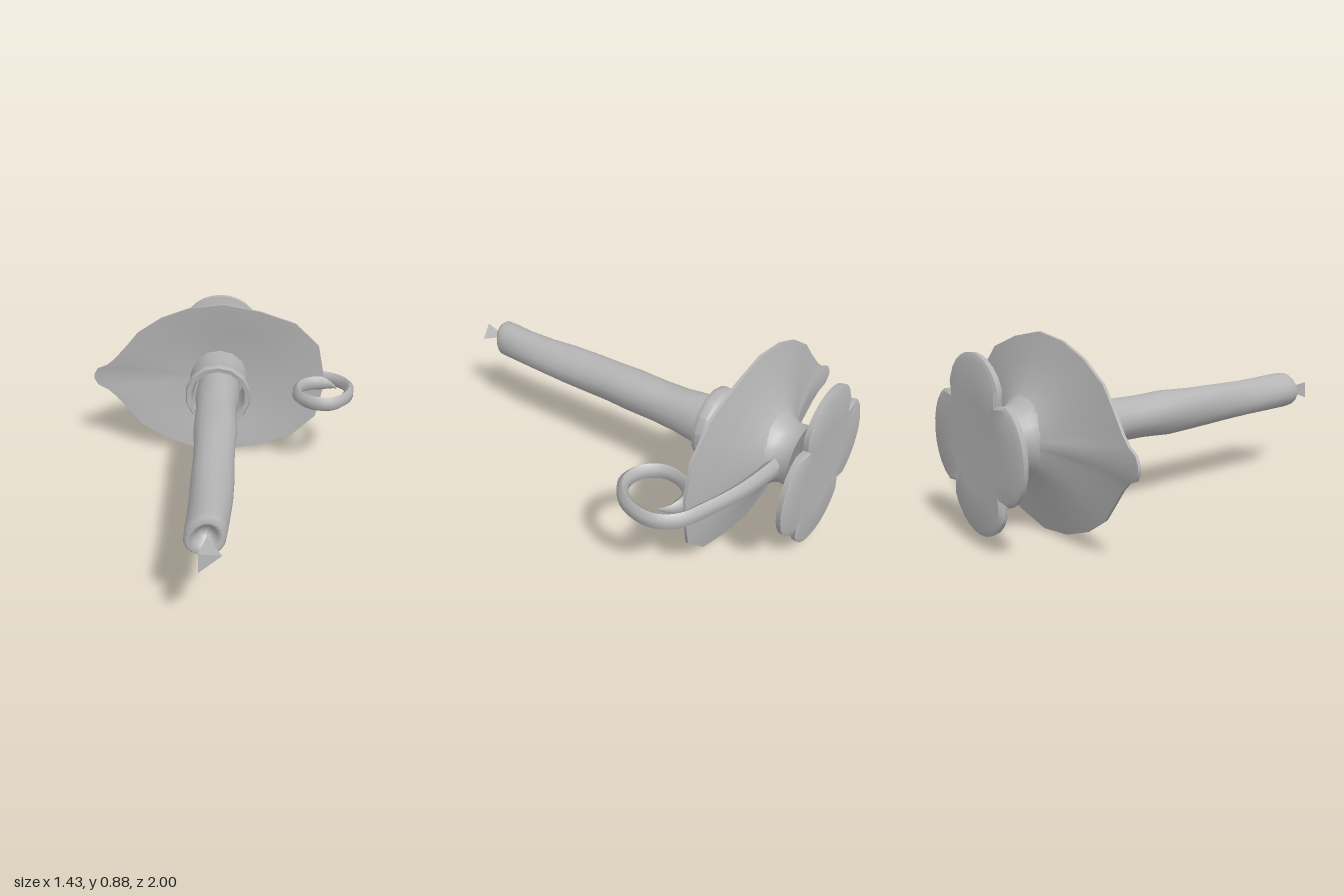
import * as THREE from 'three';
import { toCreasedNormals, mergeVertices } from 'three/addons/utils/BufferGeometryUtils.js';

const CX = -0.02, CY = 0.443; // main axis runs along z through this point

// Skin closed rings (counter-clockwise seen from +z, ordered back to front)
function loft(rings, crease = 0.7) {
  const n = rings[0].length, index = [];
  for (let i = 0; i < rings.length - 1; i++) {
    for (let j = 0; j < n; j++) {
      const k = (j + 1) % n, a = i * n + j, b = i * n + k;
      index.push(a, b, a + n, b, b + n, a + n);
    }
  }
  const g = new THREE.BufferGeometry();
  g.setAttribute('position', new THREE.Float32BufferAttribute(rings.flat(2), 3));
  g.setIndex(index);
  return toCreasedNormals(g, crease);
}

// Turned part along z from [radius, z] pairs
function turned(profile, sides) {
  const g = new THREE.LatheGeometry(profile.map(([r, z]) => new THREE.Vector2(r, z)), sides);
  g.rotateX(Math.PI / 2);
  return g;
}

export function createModel() {
  const group = new THREE.Group();
  const clay = new THREE.MeshStandardMaterial({ color: 0xb4b4b4, side: THREE.DoubleSide });
  clay.name = 'grey';
  const add = (name, geometry, x = 0, y = 0) => {
    const mesh = new THREE.Mesh(geometry, clay);
    mesh.name = name;
    mesh.position.set(x, y, 0);
    group.add(mesh);
  };

  // Leaf-shaped drip plate with a pinched spout at -x
  const upper = [[0.555, 0.04], [0.52, 0.21], [0.39, 0.335], [0.2, 0.4], [0, 0.438], [-0.18, 0.415],
    [-0.33, 0.36], [-0.46, 0.275], [-0.53, 0.19], [-0.6, 0.11], [-0.645, 0.072], [-0.7, 0.048], [-0.72, 0.012]];
  const leaf = [...upper, ...upper.map(([x, y]) => [x, -y]).reverse()];
  const plateRing = ([t, z]) => leaf.map(([x, y]) => {
    const a = Math.atan2(y, x - CX);
    const px = THREE.MathUtils.lerp(CX + 0.15 * Math.cos(a), x, t);
    const py = THREE.MathUtils.lerp(0.15 * Math.sin(a), y, t);
    return [px, CY + py, z - 0.15 * Math.max(0, -0.5 - px)];
  });
  add('dripPlate', loft([[0, -0.795], [0.12, -0.765], [0.3, -0.735], [0.6, -0.7], [1, -0.668],
    [1, -0.655], [0.85, -0.66], [0.5, -0.678], [0.25, -0.69], [0, -0.7]].map(plateRing)));

  // Four-petal foot flaring out of the neck
  const footRing = ([r, z, petal]) => Array.from({ length: 48 }, (_, i) => {
    const a = (i / 48) * Math.PI * 2;
    const lobe = Math.sqrt(Math.abs(Math.cos(2 * a))) - 1;
    const R = r * (1 + 0.29 * petal * lobe);
    return [CX + R * Math.cos(a), CY + R * Math.sin(a), z];
  });
  add('petalFoot', loft([[0.001, -0.995, 0], [0.2, -0.997, 0.4], [0.36, -1, 1], [0.383, -0.99, 1], [0.38, -0.968, 1],
    [0.3, -0.955, 0.7], [0.21, -0.925, 0.25], [0.15, -0.895, 0]].map(footRing)));

  // Neck between foot and plate
  add('neck', turned([[0.16, -0.91], [0.142, -0.885], [0.137, -0.84], [0.15, -0.805], [0.18, -0.77]], 24), CX, CY);

  // Hollow socket with a rolled lip
  const socket = turned([[0.16, -0.72], [0.162, -0.66], [0.158, -0.55], [0.163, -0.51], [0.174, -0.49],
    [0.176, -0.455], [0.168, -0.437], [0.145, -0.44], [0.135, -0.48], [0.13, -0.64], [0, -0.645]], 14);
  add('socket', toCreasedNormals(socket, 0.6), CX, CY);

  // Candle: uneven wax with a hollow, slanted tip
  const profile = [[0.115, -0.64], [0.118, -0.42], [0.103, -0.28], [0.102, -0.15], [0.106, 0], [0.1, 0.12],
    [0.097, 0.25], [0.095, 0.4], [0.092, 0.55], [0.09, 0.7], [0.09, 0.8], [0.088, 0.845], [0.073, 0.865],
    [0.05, 0.845], [0.025, 0.805], [0, 0.8]];
  let wax = turned(profile, 18);
  wax.deleteAttribute('uv');
  wax.deleteAttribute('normal');
  wax = mergeVertices(wax, 1e-4);
  const p = wax.attributes.position;
  for (let i = 0; i < p.count; i++) {
    const x = p.getX(i), y = p.getY(i), z = p.getZ(i), a = Math.atan2(y, x);
    const s = 1 + 0.035 * Math.sin(3 * a + 5 * z) + 0.03 * Math.sin(2 * a - 9 * z);
    const tip = THREE.MathUtils.smoothstep(z, 0.6, 0.85);
    p.setXYZ(i, x * s - 0.008 * tip, y * s + 0.006 * tip, z - 0.18 * x * tip);
  }
  wax.computeVertexNormals();
  add('candle', wax, CX, CY);

  // Three-sided wick, narrow in the wax and wide at the end
  const end = [[0.04, 0.435, 0.95], [-0.05, 0.475, 0.995], [-0.05, 0.39, 1]];
  const all = (x, y, z) => end.map(() => [x, y, z]);
  add('wick', loft([all(-0.02, 0.45, 0.8), end.map(([x, y]) => [-0.02 + x * 0.1, 0.45 + (y - 0.43) * 0.1, 0.86]),
    end, all(-0.02, 0.433, 0.982)], 0.1));

  // Handle: arm from the neck curling into a ring, taller than wide
  const path = [[0.08, -0.83], [0.2, -0.815], [0.35, -0.785], [0.5, -0.735], [0.62, -0.685], [0.675, -0.62],
    [0.685, -0.54], [0.65, -0.44], [0.57, -0.375], [0.48, -0.385], [0.415, -0.45], [0.405, -0.54],
    [0.45, -0.615], [0.53, -0.642], [0.595, -0.615], [0.62, -0.575]].map(([x, z]) => new THREE.Vector3(x, 0, z));
  const curve = new THREE.CatmullRomCurve3(path);
  const SEG = 56, SIDES = 6;
  const tube = new THREE.TubeGeometry(curve, SEG, 0.026, SIDES, false);
  const q = tube.attributes.position, c = new THREE.Vector3();
  for (let i = 0; i < q.count; i++) {
    // thicker at the neck, tapering to a point at the curl's end
    const u = Math.floor(i / (SIDES + 1)) / SEG;
    const w = (1 + 0.25 * Math.max(0, 1 - u * 4)) * Math.min(1, (1 - u) * 14 + 0.05);
    curve.getPointAt(u, c);
    q.setXYZ(i, c.x + (q.getX(i) - c.x) * w, q.getY(i) * w * 1.5, c.z + (q.getZ(i) - c.z) * w);
  }
  tube.computeVertexNormals();
  add('curledHandle', tube, 0, CY);

  return group;
}
